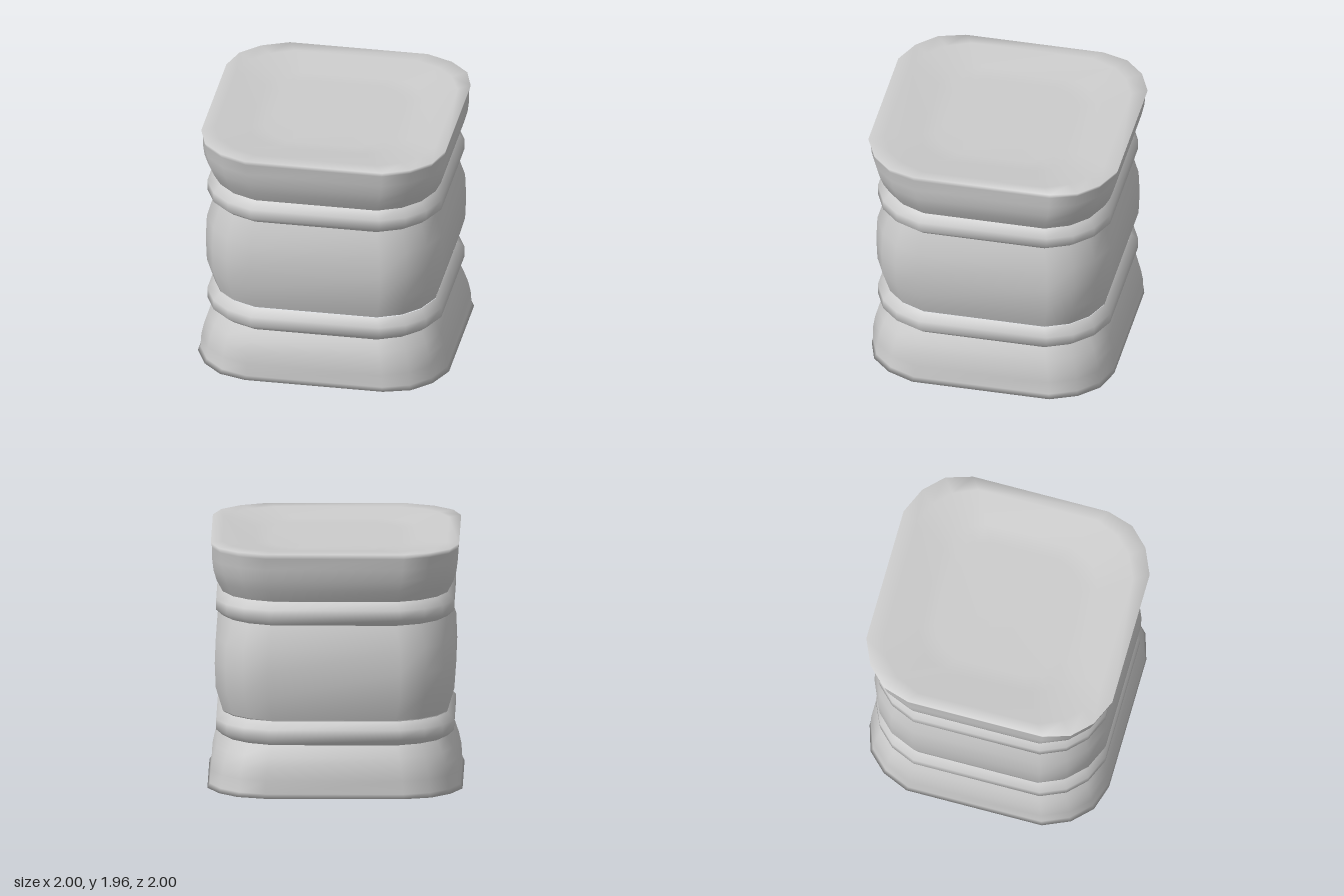
import * as THREE from 'three';

const material = new THREE.MeshStandardMaterial({ color: 0xcccccc, side: THREE.DoubleSide });

// One rounded-square section: four points per corner, mirrored round the four quarters.
// Corners follow the wider half-width, the flat sides their own one.
function section(hx, hz) {
  const h = Math.max(hx, hz);
  const quarter = [[hx, 0.55 * h], [0.908 * h, 0.76 * h], [0.76 * h, 0.908 * h], [0.55 * h, hz]];
  const flip = ([x, z]) => [-x, z];
  const half = [...quarter, ...quarter.map(flip).reverse()];
  return [...half, ...half.map(([x, z]) => [-x, -z])];
}

// Skin through levels [y, halfWidthX, halfWidthZ], smooth shaded
function loft(name, levels) {
  const n = 16, pos = [], index = [];
  for (const [y, hx, hz = hx] of levels) {
    for (const [x, z] of section(hx, hz)) pos.push(x, y, z);
  }
  for (let j = 0; j < levels.length - 1; j++) {
    for (let i = 0; i < n; i++) {
      const a = j * n + i, c = j * n + (i + 1) % n;
      index.push(a, a + n, c, c, a + n, c + n);
    }
  }
  const g = new THREE.BufferGeometry();
  g.setAttribute('position', new THREE.Float32BufferAttribute(pos, 3));
  g.setIndex(index);
  g.computeVertexNormals();
  const mesh = new THREE.Mesh(g, material);
  mesh.name = name;
  return mesh;
}

// Rounded band between two sections
function band(name, y) {
  return loft(name, [[y, 0.88], [y + 0.05, 0.932], [y + 0.13, 0.932], [y + 0.19, 0.878]]);
}

export function createModel() {
  const group = new THREE.Group();
  group.name = 'column';

  // Open foot with an inward lip underneath
  group.add(loft('base', [
    [0, 0.88], [0, 1, 0.973], [0.035, 0.982, 0.965], [0.14, 0.975, 0.965],
    [0.23, 0.956, 0.952], [0.32, 0.927, 0.927], [0.41, 0.88],
  ]));

  group.add(band('lowerBand', 0.41));

  // Bulging middle
  group.add(loft('body', [
    [0.607, 0.88], [0.795, 0.935], [0.99, 0.943], [1.185, 0.935], [1.37, 0.88],
  ]));

  group.add(band('upperBand', 1.367));

  // Flaring head, closed by a shallow dished lid
  group.add(loft('head', [
    [1.558, 0.88], [1.65, 0.927, 0.927], [1.735, 0.952, 0.956], [1.83, 0.963, 0.977],
    [1.92, 0.963, 0.984], [1.96, 0.973, 1], [1.957, 0.88], [1.915, 0.63],
    [1.91, 0.5], [1.91, 0],
  ]));

  return group;
}
